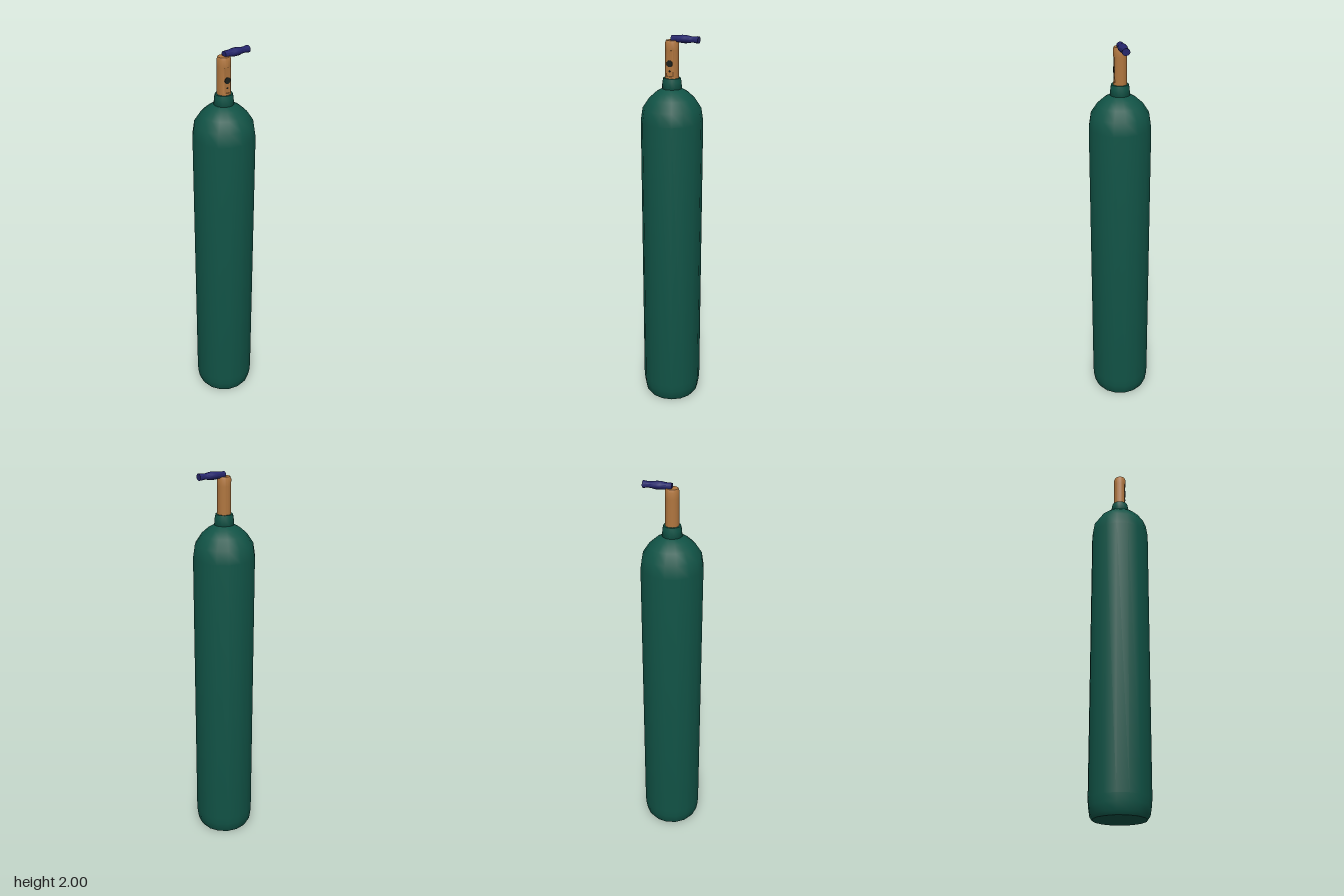
import * as THREE from 'three';
import { toCreasedNormals } from 'three/addons/utils/BufferGeometryUtils.js';

const green = new THREE.MeshStandardMaterial({ name: 'tank green', color: 0x115346 });
const brass = new THREE.MeshStandardMaterial({ name: 'brass', color: 0xb0763f });
const navy = new THREE.MeshStandardMaterial({ name: 'handle navy', color: 0x25256b });
const dark = new THREE.MeshStandardMaterial({ name: 'outlet dark', color: 0x1c211d });

// Lathe from [radius, height] pairs, smooth except at sharp edges
function turned(points, sides, crease = 0.7) {
  const profile = points.map(([r, y]) => new THREE.Vector2(r, y));
  return toCreasedNormals(new THREE.LatheGeometry(profile, sides), crease);
}

function add(group, name, geometry, material) {
  const mesh = new THREE.Mesh(geometry, material);
  mesh.name = name;
  group.add(mesh);
  return mesh;
}

export function createModel() {
  const model = new THREE.Group();
  model.name = 'gasCylinder';

  // Tank: flat base, rounded foot, straight wall and domed shoulder
  add(model, 'tank', turned([
    [0, 0], [0.135, 0], [0.147, 0.018], [0.154, 0.06], [0.157, 0.1],
    [0.157, 1.575], [0.147, 1.64], [0.114, 1.69], [0.08, 1.72], [0.045, 1.74], [0, 1.745],
  ], 16), green);

  // Neck collar
  add(model, 'neckCollar', turned([
    [0.046, 1.73], [0.05, 1.738], [0.047, 1.772], [0.043, 1.79], [0, 1.79],
  ], 16), green);

  // Valve body: round post with a flat milled on the outlet side
  const body = new THREE.LatheGeometry([
    [0.034, 1.78], [0.034, 1.8], [0.034, 1.801], [0.034, 1.925],
    [0.034, 1.926], [0.034, 1.96], [0.029, 1.972], [0, 1.972],
  ].map(([r, y]) => new THREE.Vector2(r, y)), 24);
  const pos = body.attributes.position;
  for (let i = 0; i < pos.count; i++) {
    const y = pos.getY(i);
    if (y > 1.8005 && y < 1.9255) pos.setX(i, Math.min(pos.getX(i), 0.029));
  }
  add(model, 'valveBody', toCreasedNormals(body, 0.5), brass);

  // Gas outlet on the flat: dark bore and a pin hole beneath
  for (const [name, radius, y] of [['outletBore', 0.016, 1.862], ['pinHole', 0.004, 1.825]]) {
    const bore = add(model, name, new THREE.CylinderGeometry(radius, radius, 0.006, 16), dark);
    bore.rotation.z = -Math.PI / 2;
    bore.position.set(0.029, y, 0);
  }

  // Handle: turned grip pointing backwards from the top of the valve
  const handle = add(model, 'valveHandle', turned([
    [0, 0], [0.017, 0], [0.018, 0.03], [0.022, 0.055], [0.022, 0.075],
    [0.017, 0.1], [0.016, 0.115], [0.019, 0.133], [0.019, 0.141], [0, 0.141],
  ], 12), navy);
  handle.rotation.x = -Math.PI / 2;
  handle.scale.x = 1.04;
  handle.scale.z = 0.9;
  handle.position.y = 1.98;

  return model;
}
